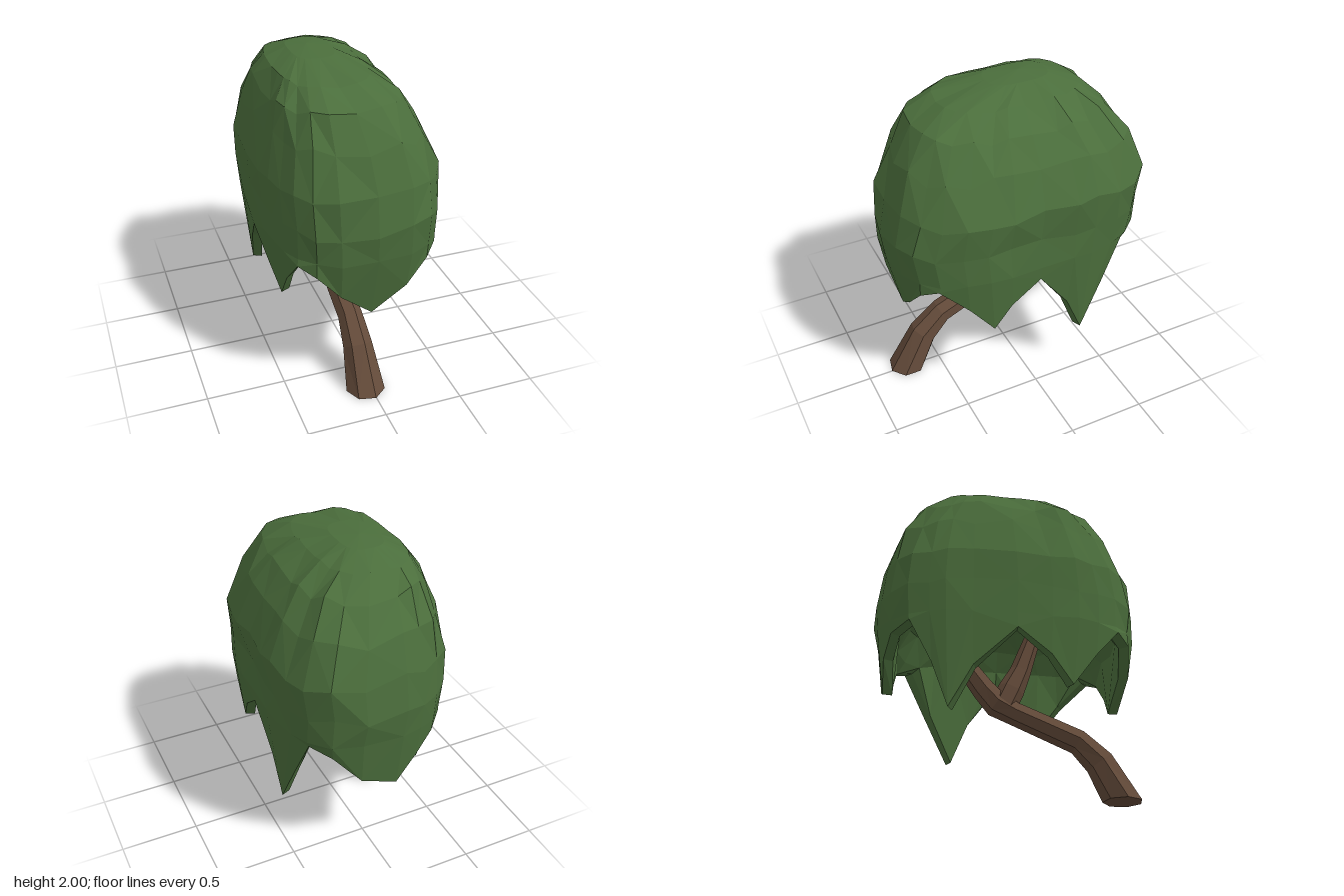
import * as THREE from 'three';

const V = (x, y, z) => new THREE.Vector3(x, y, z);
const centre = (ring) => ring.reduce((s, p) => s.add(p), V(0, 0, 0)).divideScalar(ring.length);

// Closed faceted skin through a series of rings, capped at both ends
function loft(rings, startCap = centre(rings[0]), endCap = centre(rings.at(-1))) {
  const pts = [];
  const n = rings[0].length;
  for (let i = 0; i < n; i++) {
    const j = (i + 1) % n;
    const last = rings.at(-1);
    pts.push(startCap, rings[0][i], rings[0][j], endCap, last[j], last[i]);
    for (let r = 0; r < rings.length - 1; r++) {
      const a = rings[r], b = rings[r + 1];
      if ((i + r) % 2) pts.push(a[i], b[i], a[j], a[j], b[i], b[j]);
      else pts.push(a[i], b[i], b[j], a[i], b[j], a[j]);
    }
  }
  const geo = new THREE.BufferGeometry().setFromPoints(pts);
  geo.computeVertexNormals();
  return geo;
}

function part(name, geo, color) {
  const mesh = new THREE.Mesh(geo, new THREE.MeshStandardMaterial({ color, flatShading: true, roughness: 1 }));
  mesh.name = name;
  return mesh;
}

// Seeded noise in -1..1
let seed = 11;
const noise = () => {
  seed = (seed * 16807) % 2147483647;
  return (seed / 2147483647) * 2 - 1;
};

// Limb sections are [x, y, z, radius]; a limb on the ground starts with a level cut
function limb(sections, onGround, sides = 7) {
  const path = sections.map(([x, y, z]) => V(x, y, z));
  const rings = sections.map(([, , , r], k) => {
    const t = path[Math.min(k + 1, path.length - 1)].clone().sub(path[Math.max(k - 1, 0)]).normalize();
    if (onGround && k === 0) t.set(0, 1, 0);
    const w = V(1, 0, 0).cross(t).normalize();
    const u = t.clone().cross(w);
    return Array.from({ length: sides }, (_, i) => {
      const a = ((i + 0.5) / sides) * Math.PI * 2;
      return path[k].clone().addScaledVector(u, r * Math.cos(a)).addScaledVector(w, r * Math.sin(a));
    });
  });
  return loft(rings);
}

function canopyGeometry() {
  // Hem height by angle: drooping tips and the notches between them
  const hem = [
    [0, 0.9], [7, 0.75], [15.5, 0.58], [27, 0.78], [43, 0.95],
    [58, 0.9], [75, 0.75], [90, 0.58], [105, 0.75], [122, 0.9],
    [137, 0.95], [150, 0.78], [161, 0.58], [172, 0.75], [180, 0.9],
    [191, 0.66], [202, 0.4], [211, 0.68], [224, 0.95],
    [241, 0.9], [255, 0.78], [266, 0.6], [280, 0.7], [300, 0.9],
    [318, 0.95], [331, 0.66], [344, 0.35], [352, 0.62],
  ];

  // Rounded-box plan
  const bend = (v) => Math.sign(v) * Math.abs(v) ** (2 / 3);
  const plan = hem.map(([a]) => {
    const t = THREE.MathUtils.degToRad(a);
    return [bend(Math.cos(t)), bend(Math.sin(t))];
  });

  // Outer levels: y, x min, x max, z min, z max, swelling of the back left corner, roughness
  const levels = [
    [0.99, -0.53, 0.54, -0.82, 0.81, 0.03, 0.006],
    [1.18, -0.54, 0.53, -0.83, 0.83, 0.08, 0.018],
    [1.4, -0.55, 0.55, -0.81, 0.79, 0.11, 0.018],
    [1.64, -0.49, 0.45, -0.74, 0.69, 0.1, 0.02],
    [1.82, -0.44, 0.33, -0.62, 0.57, 0.08, 0.02],
    [1.925, -0.36, 0.18, -0.5, 0.39, 0.05, 0.006],
    [1.985, -0.23, 0.03, -0.33, 0.07, 0, 0],
  ];
  const outer = levels.map(([y, x0, x1, z0, z1, swell, rough]) => plan.map(([px, pz]) => {
    const s = 1 + noise() * rough + swell * Math.max(0, px) * Math.max(0, -pz)
      - 0.4 * swell * Math.max(0, -px) * Math.max(0, pz);
    return V((x0 + x1) / 2 + ((x1 - x0) / 2) * px * s, y + noise() * rough * 1.6,
      (z0 + z1) / 2 + ((z1 - z0) / 2) * pz * s);
  }));

  // Hem edge leans inward towards the tips; the inner edge gives it thickness
  const hemRing = (inset) => hem.map(([, y], i) => {
    const [px, pz] = plan[i];
    const droop = Math.min(1, Math.max(0, (0.95 - y) / 0.37));
    const fx = 1 - (px > 0 ? 0.05 : 0.12) * droop;
    const fz = 1 - (pz > 0 ? 0.12 : 0.06) * droop;
    return V((0.535 * fx - inset) * px, y, (0.82 * fz - inset) * pz);
  });

  // Hollow underside
  const inner = (y, x, z) => plan.map(([px, pz]) => V(x * px, y + noise() * 0.02, z * pz));
  return loft(
    [inner(1.24, 0.25, 0.42), inner(1.14, 0.38, 0.62), inner(1.0, 0.44, 0.7), hemRing(0.06), hemRing(0), ...outer],
    V(0, 1.28, 0), V(-0.11, 2.0, -0.16));
}

export function createModel() {
  const tree = new THREE.Group();
  tree.name = 'tree';

  tree.add(part('canopy', canopyGeometry(), 0x4b6e3c));

  // Leaning trunk with a fork under the canopy
  tree.add(part('trunk', limb([
    [-0.03, 0, 0.72, 0.125], [-0.035, 0.24, 0.585, 0.095], [-0.035, 0.37, 0.45, 0.08],
    [-0.04, 0.535, 0.05, 0.075], [-0.04, 0.59, -0.06, 0.085], [-0.04, 0.68, -0.14, 0.075],
    [-0.03, 0.98, -0.36, 0.055], [-0.02, 1.25, -0.5, 0.04],
  ], true), 0x644b3a));
  tree.add(part('branch', limb([
    [-0.04, 0.58, -0.02, 0.085], [-0.04, 0.69, 0.03, 0.085], [-0.04, 0.82, 0.09, 0.068], [-0.03, 1.26, 0.24, 0.04],
  ], false, 6), 0x644b3a));

  return tree;
}
